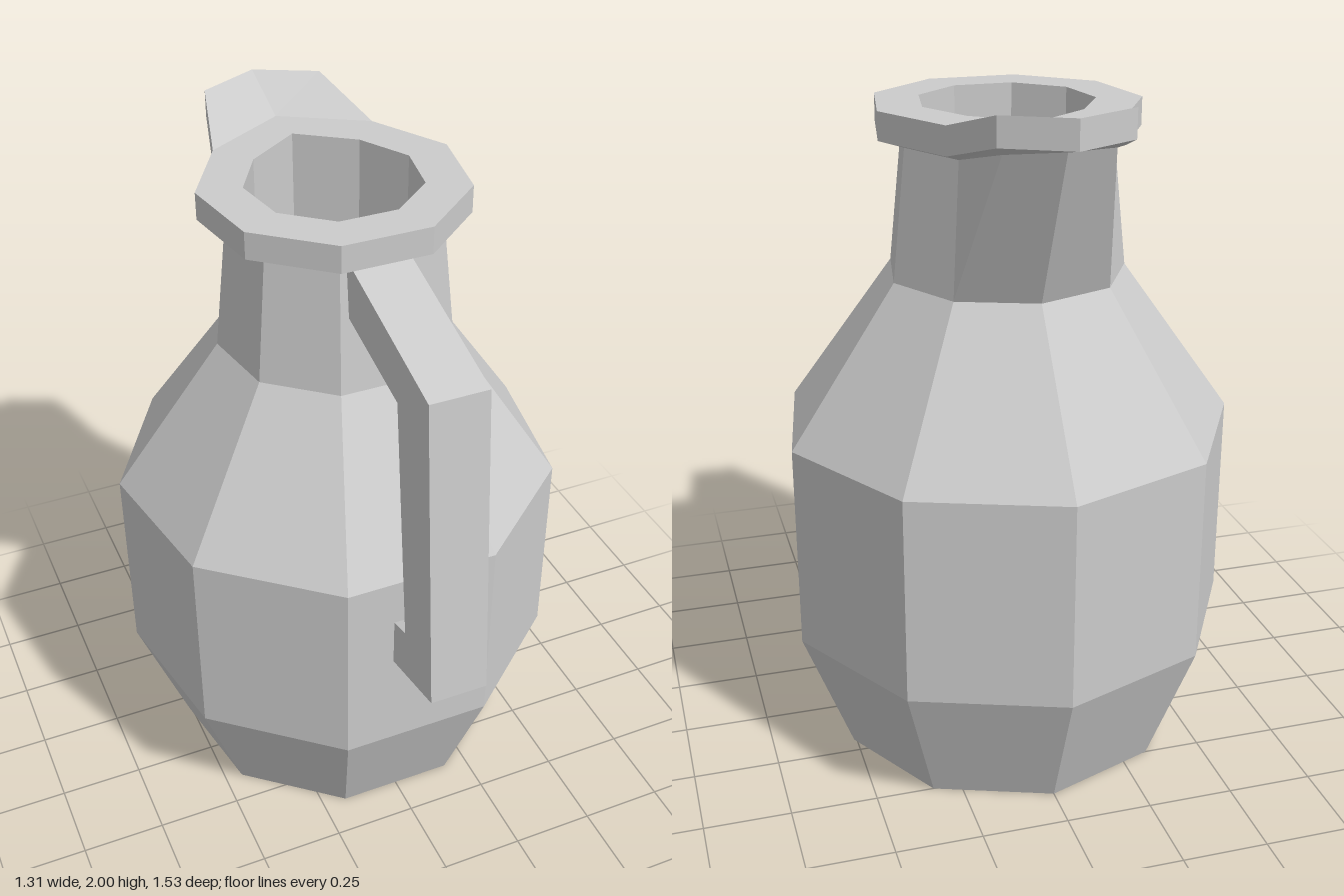
import * as THREE from 'three';

const CZ = -0.105; // z of the jug's axis
const ANGLES = [0, 40, 40, 80, 120, 160, 200, 240, 280, 320, 320]; // nine sides, spout corners doubled

// One ring; tip = [z, y] moves the back point, lip = [x, z, y] moves the two spout corners.
function ring(r, y, tip, lip) {
  const pts = ANGLES.map((deg) => {
    const a = THREE.MathUtils.degToRad(deg);
    return new THREE.Vector3(r * Math.sin(a), y, CZ - r * Math.cos(a));
  });
  if (tip) pts[0].set(0, tip[1], tip[0]);
  if (lip) {
    pts[1].set(lip[0], lip[2], lip[1]);
    pts[10].set(-lip[0], lip[2], lip[1]);
  }
  return pts;
}

// Faceted skin through successive rings, skipping collapsed triangles.
function loft(rings) {
  const pos = [];
  const tri = new THREE.Triangle();
  const add = (a, b, c) => {
    if (tri.set(a, b, c).getArea() > 1e-6) for (const p of [a, b, c]) pos.push(p.x, p.y, p.z);
  };
  for (let k = 0; k < rings.length - 1; k++) {
    const lo = rings[k], hi = rings[k + 1], n = lo.length;
    for (let i = 0; i < n; i++) {
      const j = (i + 1) % n;
      add(lo[j], lo[i], hi[i]);
      add(lo[j], hi[i], hi[j]);
    }
  }
  const geo = new THREE.BufferGeometry();
  geo.setAttribute('position', new THREE.Float32BufferAttribute(pos, 3));
  geo.computeVertexNormals();
  return geo;
}

export function createModel() {
  const group = new THREE.Group();
  const material = new THREE.MeshStandardMaterial({ color: 0xcccccc, flatShading: true });
  const addPart = (name, geometry) => {
    const mesh = new THREE.Mesh(geometry, material);
    mesh.name = name;
    group.add(mesh);
  };

  const shoulder = ring(0.345, 1.45);
  const neckTop = ring(0.305, 1.825, [-0.645, 1.9], [0.15, -0.585, 1.89]);
  const rimTop = ring(0.38, 1.93, [-0.73, 2], [0.18, -0.64, 2]);
  const mouth = ring(0.25, 1.93, [-0.41, 1.93]);

  // Closed base, belly and shoulder
  addPart('body', loft([ring(0, 0), ring(0.516, 0), ring(0.665, 0.39), ring(0.665, 1), shoulder]));

  // Neck, pulled out at the back under the spout
  addPart('neck', loft([shoulder, neckTop]));

  // Rim with a raised pouring spout
  addPart('rim', loft([
    neckTop,
    ring(0.38, 1.85, [-0.73, 1.92], [0.18, -0.64, 1.92]),
    rimTop,
    ring(0.38, 1.93, [-0.54, 1.93]),
    mouth,
  ]));

  // Hollow inside the neck
  addPart('interior', loft([mouth, ring(0.25, 1.45, [-0.41, 1.45]), ring(0, 1.45)]));

  // Angular handle, drawn as (z, y) and extruded across x
  const outline = [
    [0.16, 1.851], [0.68, 1.705], [0.765, 0.765], [0.48, 0.695],
    [0.48, 0.845], [0.59, 0.875], [0.505, 1.6], [0.16, 1.685],
  ];
  const width = 0.17;
  const handle = new THREE.ExtrudeGeometry(
    new THREE.Shape(outline.map(([z, y]) => new THREE.Vector2(z, y))),
    { depth: width, bevelEnabled: false },
  );
  handle.translate(0, 0, -width / 2).rotateY(-Math.PI / 2);
  addPart('handle', handle);

  return group;
}
